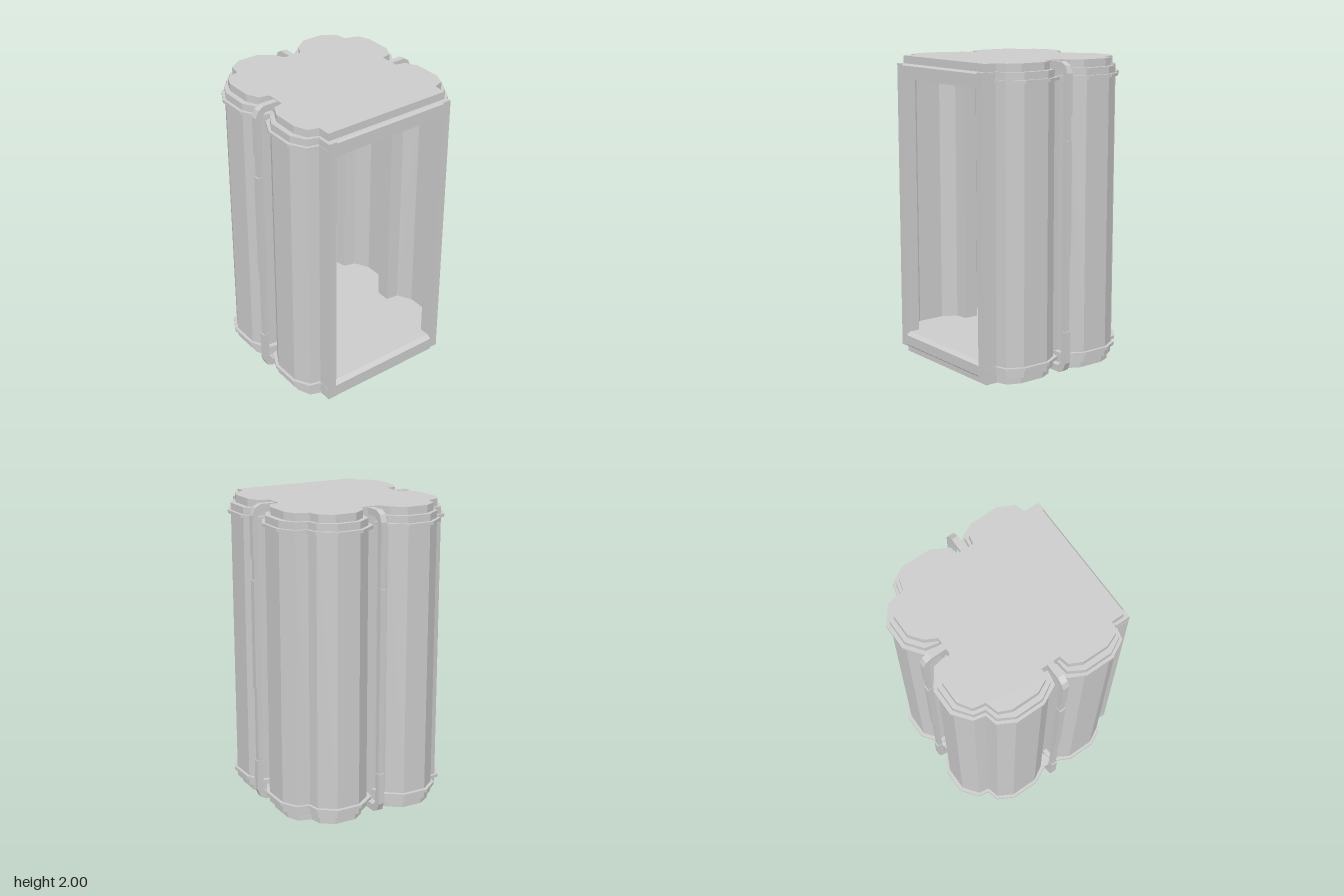
import * as THREE from 'three';

// Right half of each plan outline as [x, z], from back centre round to the front
const RIM = [[0.02, -0.41], [0.025, -0.43], [0.04, -0.51], [0.165, -0.6], [0.335, -0.6], [0.445, -0.515],
  [0.462, -0.438], [0.54, -0.42], [0.6, -0.31], [0.6, -0.12], [0.54, 0], [0.465, 0.015], [0.44, 0.015],
  [0.44, 0.055], [0.465, 0.055], [0.54, 0.07], [0.6, 0.19], [0.6, 0.38], [0.54, 0.49], [0.462, 0.51], [0.462, 0.595]];
const WALL = [[0.05, -0.41], [0.07, -0.5], [0.17, -0.575], [0.33, -0.575], [0.43, -0.5],
  [0.445, -0.425], [0.525, -0.405], [0.58, -0.305], [0.58, -0.12], [0.525, -0.025], [0.44, -0.015],
  [0.44, 0.085], [0.525, 0.095], [0.58, 0.19], [0.58, 0.375], [0.525, 0.475], [0.45, 0.495], [0.45, 0.56]];
const CAP = [[0.06, -0.41], [0.1, -0.485], [0.18, -0.545], [0.325, -0.545], [0.41, -0.49],
  [0.425, -0.41], [0.51, -0.385], [0.545, -0.305], [0.545, -0.125], [0.505, -0.045], [0.44, -0.03],
  [0.44, 0.1], [0.505, 0.115], [0.545, 0.195], [0.545, 0.37], [0.51, 0.455], [0.44, 0.48], [0.44, 0.565]];

const mirrored = (half) => [...half.map(([x, z]) => [-x, z]).reverse(), ...half];

// Solid slab of a plan outline between two heights
function slab(half, y0, y1) {
  const shape = new THREE.Shape(mirrored(half).map(([x, z]) => new THREE.Vector2(x, -z)));
  const geo = new THREE.ExtrudeGeometry(shape, { depth: y1 - y0, bevelEnabled: false });
  return geo.rotateX(-Math.PI / 2).translate(0, y0, 0);
}

// Flat profile extruded to a width centred on z = 0
function strip(points, width) {
  const shape = new THREE.Shape(points.map(([x, y]) => new THREE.Vector2(x, y)));
  return new THREE.ExtrudeGeometry(shape, { depth: width, bevelEnabled: false }).translate(0, 0, -width / 2);
}

// Thin lobed wall, open at the front
function wallGeometry(half, y0, y1) {
  const path = mirrored(half);
  const pos = [];
  for (let i = 0; i < path.length - 1; i++) {
    const [ax, az] = path[i], [bx, bz] = path[i + 1];
    pos.push(ax, y0, az, ax, y1, az, bx, y1, bz, ax, y0, az, bx, y1, bz, bx, y0, bz);
  }
  const geo = new THREE.BufferGeometry();
  geo.setAttribute('position', new THREE.Float32BufferAttribute(pos, 3));
  geo.computeVertexNormals();
  return geo;
}

export function createModel() {
  const group = new THREE.Group();
  const mat = new THREE.MeshStandardMaterial({ color: 0xcccccc, flatShading: true });
  const thin = new THREE.MeshStandardMaterial({ color: 0xcccccc, flatShading: true, side: THREE.DoubleSide });
  const add = (name, geo, parent = group, material = mat) => {
    const mesh = new THREE.Mesh(geo, material);
    mesh.name = name;
    parent.add(mesh);
    return mesh;
  };

  add('lobedWall', wallGeometry(WALL, 0.1, 1.9), group, thin);

  // Stepped base and its mirror image at the top
  for (const top of [false, true]) {
    const layer = (name, half, a, b) =>
      add((top ? 'top' : 'base') + name, top ? slab(half, 2 - b, 2 - a) : slab(half, a, b));
    layer('Cap', CAP, 0, 0.05);
    layer('Slab', WALL, 0.05, 0.14);
    layer('Rim', RIM, 0.096, 0.116);
  }

  // Front frame with a bevelled sill
  const frame = new THREE.Group();
  frame.name = 'frontFrame';
  group.add(frame);
  for (const s of [-1, 1]) {
    add('framePost', new THREE.BoxGeometry(0.055, 1.9, 0.1), frame).position.set(s * 0.4325, 1, 0.55);
  }
  const sill = [[0.5, 0.05], [0.59, 0.05], [0.6, 0.06], [0.6, 0.125], [0.57, 0.145], [0.5, 0.145]];
  add('frameSill', strip(sill, 0.81).rotateY(-Math.PI / 2), frame);
  const lintel = [[0.5, 1.855], [0.6, 1.855], [0.6, 1.94], [0.59, 1.95], [0.5, 1.95]];
  add('frameLintel', strip(lintel, 0.81).rotateY(-Math.PI / 2), frame);

  // Square pipes running in the grooves between the lobes
  const elbow = (end) => [[0.42, 0.005], [0.54, 0.005], [0.58, 0.027], [0.6, 0.075], [0.6, end],
    [0.56, end], [0.56, 0.08], [0.53, 0.05], [0.42, 0.05]];
  const flip = (points) => points.map(([x, y]) => [x, 2 - y]);
  const bar = (outer, y0, y1) => [[0.56, y0], [outer, y0], [outer, y1], [0.56, y1]];
  const placements = [['leftPipe', 0, 0, 0.035], ['rightPipe', Math.PI, 0, 0.035], ['backPipe', Math.PI / 2, 0, 0.03]];
  for (const [name, turn, x, z] of placements) {
    const pipe = new THREE.Group();
    pipe.name = name;
    pipe.rotation.y = turn;
    pipe.position.set(x, 0, z);
    group.add(pipe);
    add('lowerElbow', strip(elbow(0.285), 0.042), pipe);
    add('lowerBar', strip(bar(0.592, 0.285, 0.79), 0.036), pipe);
    add('middleSleeve', strip(bar(0.6, 0.79, 1.51), 0.042), pipe);
    add('upperBar', strip(bar(0.592, 1.51, 1.66), 0.036), pipe);
    add('upperElbow', strip(flip(elbow(0.34)), 0.042), pipe);
  }
  return group;
}
